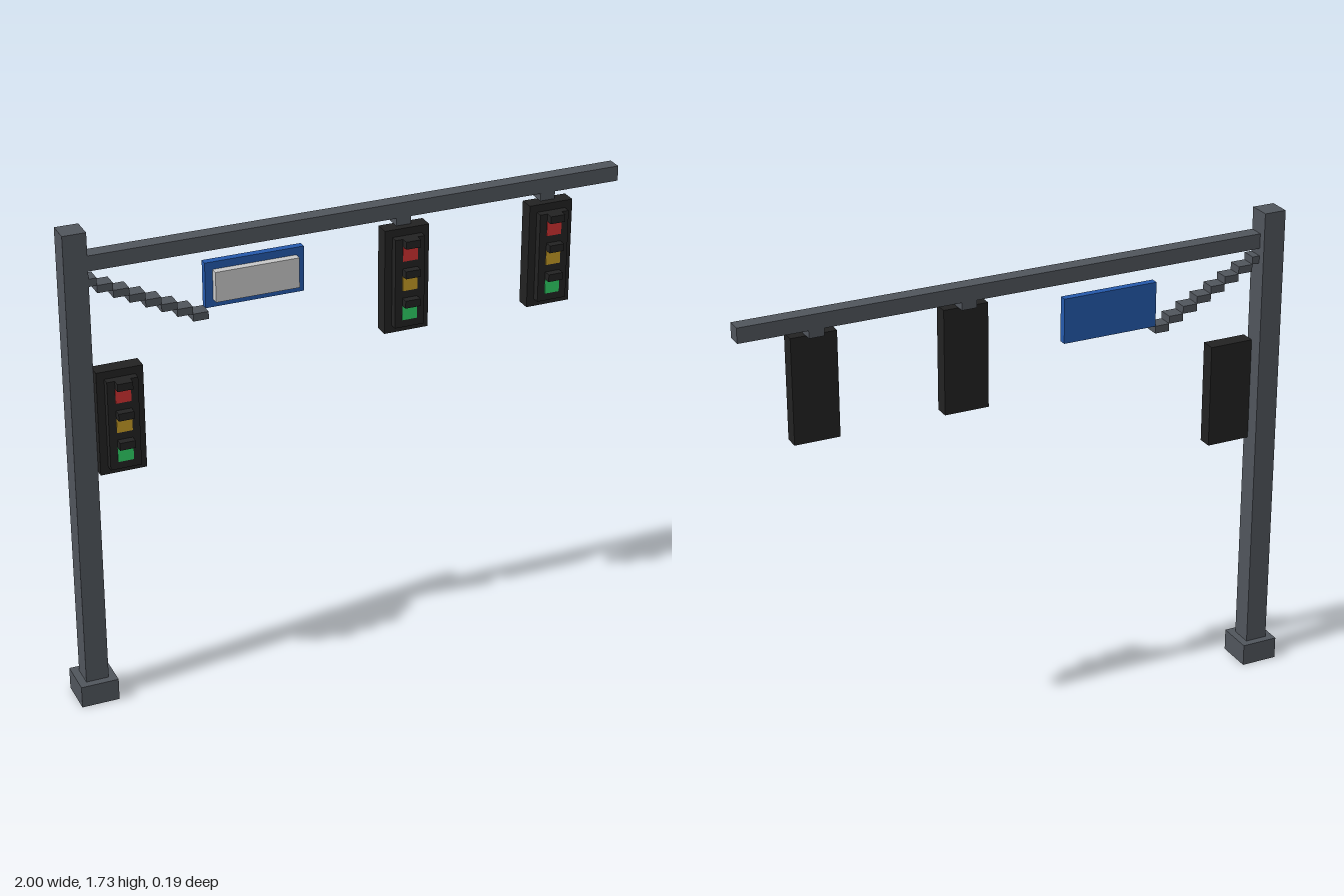
import * as THREE from 'three';

const U = 2 / 75; // one block

const mat = (name, color) => {
  const m = new THREE.MeshStandardMaterial({ color });
  m.name = name;
  return m;
};

export function createModel() {
  const steel = mat('steel grey', 0x50555c);
  const black = mat('housing black', 0x222222);
  const blue = mat('sign blue', 0x2459ac);
  const white = mat('panel grey white', 0xc8c8c8);
  const lampColours = [
    ['redLamp', mat('lamp red', 0xd03232)],
    ['amberLamp', mat('lamp amber', 0xc49a26)],
    ['greenLamp', mat('lamp green', 0x2fcf66)],
  ];

  const model = new THREE.Group();
  model.name = 'trafficLightGantry';

  // Box between two corners, in blocks counted from the left, bottom and back
  function block(parent, name, material, [x0, y0, z0], [x1, y1, z1]) {
    const geo = new THREE.BoxGeometry((x1 - x0) * U, (y1 - y0) * U, (z1 - z0) * U);
    const mesh = new THREE.Mesh(geo, material);
    mesh.name = name;
    mesh.position.set(((x0 + x1) / 2 - 37.5) * U, ((y0 + y1) / 2) * U, ((z0 + z1) / 2 - 3.5) * U);
    parent.add(mesh);
  }

  // Post and arm
  block(model, 'base', steel, [0, 0, 0], [5, 3, 5]);
  block(model, 'pole', steel, [1, 3, 1], [4, 65, 4]);
  block(model, 'arm', steel, [4, 60, 2], [75, 62, 4]);

  // Stepped brace running down from the pole to the sign
  const brace = new THREE.Group();
  brace.name = 'brace';
  model.add(brace);
  for (let i = 0; i < 8; i++) {
    block(brace, 'braceStep', steel, [Math.max(4, 3 + 2 * i), 58 - i, 2], [5 + 2 * i, 59 - i, 4]);
  }

  // Street sign
  block(model, 'signBoard', blue, [19, 52, 2], [32, 58, 3]);
  block(model, 'signPanel', white, [20, 53, 3], [31, 57, 4]);

  // Signal head: housing, front plate, three lamps, each under a visor
  function signal(name, x, y, hung) {
    const g = new THREE.Group();
    g.name = name;
    model.add(g);
    block(g, 'housing', black, [x, y, 3], [x + 6, y + 14, 5]);
    block(g, 'frontPlate', black, [x + 1, y + 1, 5], [x + 5, y + 13, 6]);
    lampColours.forEach(([lampName, material], i) => {
      const ly = y + 10 - 4 * i;
      block(g, lampName, material, [x + 2, ly, 6], [x + 4, ly + 2, 6.1]);
      block(g, 'visor', black, [x + 2, ly + 2, 6], [x + 4, ly + 3, 7]);
    });
    if (hung) block(g, 'hanger', steel, [x + 2, y + 14, 2], [x + 4, y + 15, 4]);
  }
  signal('poleSignal', 4, 33, false);
  signal('innerArmSignal', 42, 45, true);
  signal('outerArmSignal', 62, 45, true);

  return model;
}
